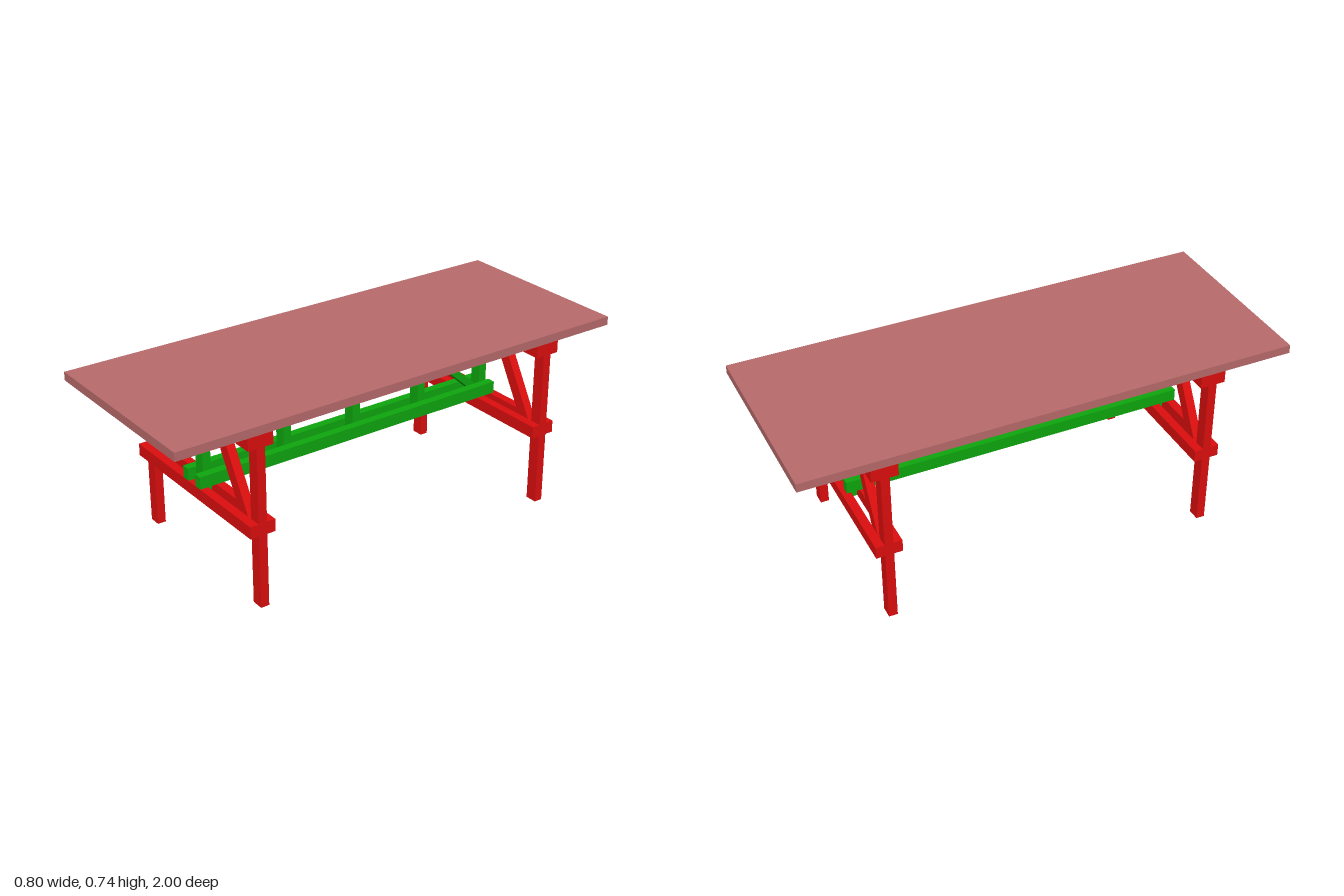
import * as THREE from 'three';

const red = new THREE.MeshStandardMaterial({ color: 0xdd0e0e });
const green = new THREE.MeshStandardMaterial({ color: 0x0ea60e });
const topColor = new THREE.MeshStandardMaterial({ color: 0xb86a6a });
const T = 0.035; // board thickness
const W = 0.05;  // board width

// Box given by its limits on each axis
function board(parent, name, material, [x0, x1], [y0, y1], [z0, z1]) {
  const mesh = new THREE.Mesh(new THREE.BoxGeometry(x1 - x0, y1 - y0, z1 - z0), material);
  mesh.position.set((x0 + x1) / 2, (y0 + y1) / 2, (z0 + z1) / 2);
  mesh.name = name;
  parent.add(mesh);
}

// Slanted board with level-cut ends, centred on its depth
function brace(parent, name, material, [u0, v0], [u1, v1], width, depth) {
  const h = width / 2;
  const shape = new THREE.Shape([[u0 - h, v0], [u0 + h, v0], [u1 + h, v1], [u1 - h, v1]]
    .map(([u, v]) => new THREE.Vector2(u, v)));
  const geometry = new THREE.ExtrudeGeometry(shape, { depth, bevelEnabled: false });
  geometry.translate(0, 0, -depth / 2);
  const mesh = new THREE.Mesh(geometry, material);
  mesh.name = name;
  parent.add(mesh);
  return mesh;
}

// Leg frame: two legs and two braces clamped between paired rails
function createTrestle(z) {
  const trestle = new THREE.Group();
  trestle.name = 'trestle';
  trestle.position.z = z;
  for (const s of [-1, 1]) {
    board(trestle, 'leg', red, [s * 0.375 - W / 2, s * 0.375 + W / 2], [0, 0.7], [-T / 2, T / 2]);
    brace(trestle, 'legBrace', red, [s * 0.331, 0.3], [s * 0.1, 0.7], 0.057, T);
    const rail = [s * T - T / 2, s * T + T / 2];
    board(trestle, 'upperRail', red, [-0.4, 0.4], [0.65, 0.7], rail);
    board(trestle, 'lowerRail', red, [-0.4, 0.4], [0.3, 0.35], rail);
  }
  return trestle;
}

// Central truss: paired long beams with posts and one diagonal between them
function createStretcher(ends) {
  const stretcher = new THREE.Group();
  stretcher.name = 'stretcher';
  for (const s of [-1, 1]) {
    const x = s * (W + T) / 2;
    for (const y of [0.35, 0.565]) {
      board(stretcher, 'longBeam', green, [x - T / 2, x + T / 2], [y, y + W], [-0.712, 0.712]);
    }
  }
  for (const z of ends) {
    board(stretcher, 'endPost', green, [-W / 2, W / 2], [0.3, 0.7], [z - T / 2, z + T / 2]);
  }
  for (const z of [0.3, -0.027, -0.353]) {
    board(stretcher, 'post', green, [-W / 2, W / 2], [0.35, 0.615], [z - T / 2, z + T / 2]);
  }
  const diagonal = brace(stretcher, 'diagonal', green, [0.66, 0.36], [0.383, 0.605], 0.045, W);
  diagonal.rotation.y = Math.PI / 2;
  return stretcher;
}

export function createModel() {
  const table = new THREE.Group();
  table.name = 'table';
  const ends = [0.66, -0.678];
  board(table, 'tableTop', topColor, [-0.4, 0.4], [0.7, 0.735], [-1, 1]);
  for (const z of ends) table.add(createTrestle(z));
  table.add(createStretcher(ends));
  return table;
}
